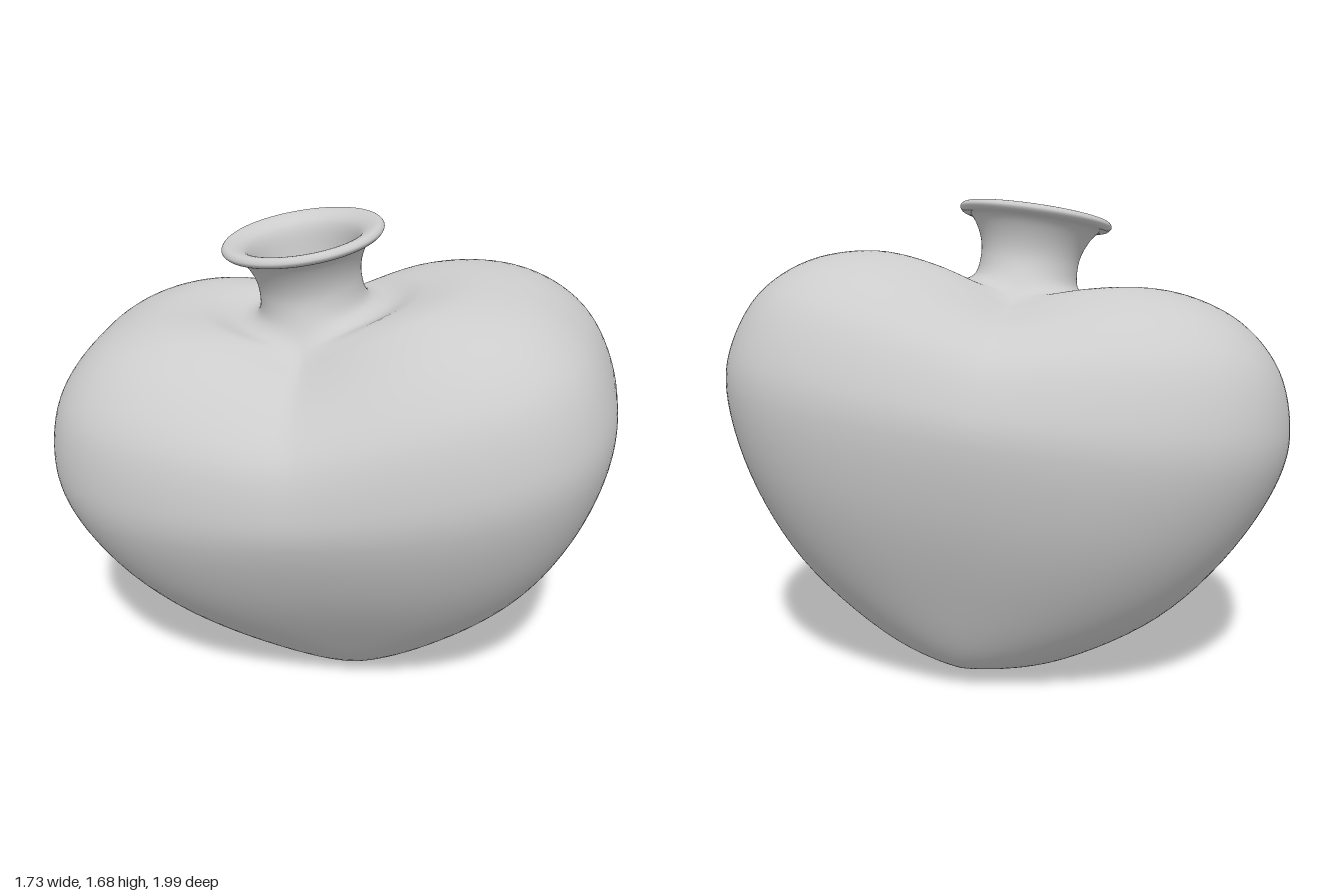
import * as THREE from 'three';

// Paired profiles [radius, height], from the base over the shoulder and rim, then down inside.
// wide: through the two lobes. narrow: along the valley between them.
const rim = [[0.177, 1.46], [0.19, 1.53], [0.23, 1.594], [0.266, 1.606], [0.276, 1.621],
  [0.264, 1.636], [0.225, 1.629], [0.193, 1.603], [0.172, 1.52], [0.158, 1.3]];
const wide = [[0, 0], [0.12, 0.003], [0.24, 0.018], [0.39, 0.08], [0.67, 0.29], [0.88, 0.58], [0.99, 0.85], [0.998, 1.0],
  [0.93, 1.2], [0.78, 1.345], [0.57, 1.415], [0.39, 1.402], [0.26, 1.36], [0.193, 1.385], ...rim,
  [0.45, 1.26], [0.9, 0.95], [0.6, 0.36], [0.3, 0.12], [0, 0.1]];
const narrow = [[0, 0], [0.11, 0], [0.23, 0.003], [0.32, 0.06], [0.48, 0.29], [0.635, 0.58], [0.71, 0.83], [0.705, 0.94],
  [0.645, 1.09], [0.52, 1.195], [0.375, 1.26], [0.29, 1.295], [0.235, 1.335], [0.198, 1.39], ...rim,
  [0.3, 1.18], [0.6, 0.9], [0.4, 0.36], [0.2, 0.12], [0, 0.1]];

const spline = (pts) => new THREE.CatmullRomCurve3(pts.map(([r, y]) => new THREE.Vector3(r, y, 0)));

// Loft superellipse rings whose height changes around the ring, so the lobes rise over the valley
function loft(rings, segments) {
  const a = spline(wide), b = spline(narrow);
  const positions = [], index = [];
  for (let i = 0; i <= rings; i++) {
    const A = a.getPoint(i / rings), B = b.getPoint(i / rings);
    const p = 2 + 0.75 * THREE.MathUtils.smoothstep(A.x, 0.2, 0.95);
    for (let j = 0; j < segments; j++) {
      const phi = (j / segments) * Math.PI * 2;
      const c = Math.cos(phi), s = Math.sin(phi);
      const norm = (Math.abs(c) ** p + Math.abs(s) ** p) ** (1 / p);
      const e = Math.min(1, Math.abs(c) / norm);
      const lobe = 1 - (1 - e ** 1.3) ** 2;
      positions.push((A.x * c) / norm, THREE.MathUtils.lerp(B.y, A.y, lobe), (B.x * s) / norm);
      if (i < rings) {
        const k = i * segments, n = (j + 1) % segments;
        index.push(k + j, k + segments + j, k + n, k + n, k + segments + j, k + segments + n);
      }
    }
  }
  const geometry = new THREE.BufferGeometry();
  geometry.setAttribute('position', new THREE.Float32BufferAttribute(positions, 3));
  geometry.setIndex(index);
  return geometry;
}

export function createModel() {
  const group = new THREE.Group();
  group.name = 'heartVase';

  // Turn the lobes diagonally, then lean the whole vase
  const geometry = loft(168, 160);
  const up = new THREE.Vector3(-0.167, 1, -0.055).normalize();
  const lean = new THREE.Quaternion().setFromUnitVectors(new THREE.Vector3(0, 1, 0), up);
  geometry.rotateY(-Math.PI / 3).applyQuaternion(lean);

  // Centre it and stand it on the ground
  geometry.computeBoundingBox();
  const { min, max } = geometry.boundingBox;
  geometry.translate(-(min.x + max.x) / 2, -min.y, -(min.z + max.z) / 2);
  geometry.computeVertexNormals();

  const vase = new THREE.Mesh(geometry, new THREE.MeshStandardMaterial({ color: 0xcccccc }));
  vase.name = 'vaseBody';
  group.add(vase);
  return group;
}
